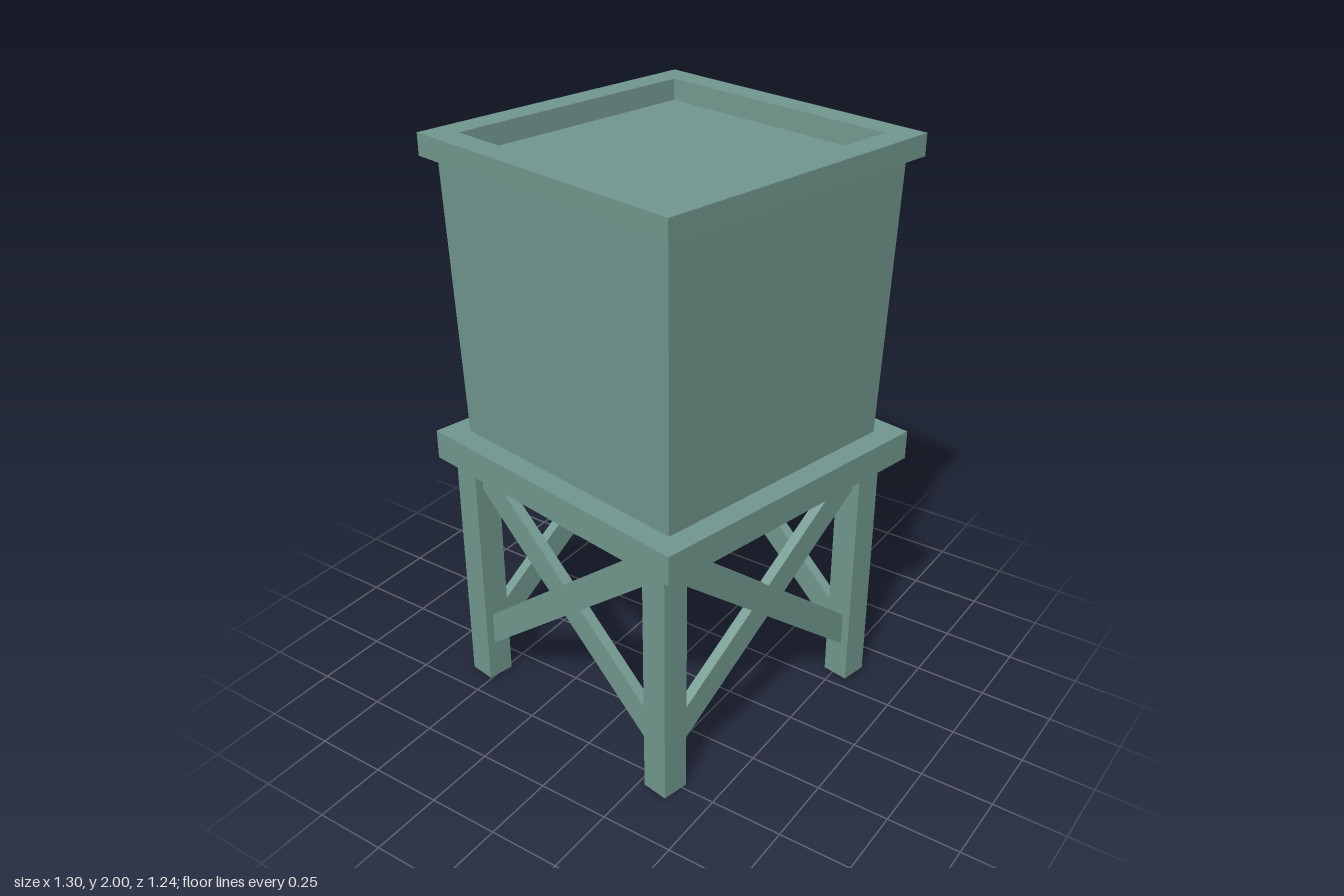
import * as THREE from 'three';

// Slightly skewed ground plan: every part is built square, then laid along these axes.
const SKEW = new THREE.Matrix4().set(
  1, 0, -0.222, 0,
  0, 1, 0, 0,
  0.173, 0, 1, 0,
  0, 0, 0, 1
);

const material = new THREE.MeshStandardMaterial({ color: 0x72988f, flatShading: true });

function part(name, geometry) {
  const mesh = new THREE.Mesh(geometry.applyMatrix4(SKEW), material);
  mesh.name = name;
  return mesh;
}

function block(w, y0, y1, x = 0, z = 0) {
  return new THREE.BoxGeometry(w, y1 - y0, w).translate(x, (y0 + y1) / 2, z);
}

// Square ring or solid from a profile of [half width, height]
function squareLathe(points) {
  const profile = points.map(([r, y]) => new THREE.Vector2(r * Math.SQRT2, y));
  return new THREE.LatheGeometry(profile, 4, Math.PI / 4);
}

// Diagonal plank with upright ends; dir gives the way it slopes
function brace(dir) {
  const reach = 0.4, mid = 0.525, rise = 0.33 * dir, half = 0.061, thick = 0.035;
  const shape = new THREE.Shape([
    new THREE.Vector2(-reach, mid - rise - half),
    new THREE.Vector2(reach, mid + rise - half),
    new THREE.Vector2(reach, mid + rise + half),
    new THREE.Vector2(-reach, mid - rise + half),
  ]);
  return new THREE.ExtrudeGeometry(shape, { depth: thick, bevelEnabled: false })
    .translate(0, 0, -thick / 2);
}

export function createModel() {
  const model = new THREE.Group();
  model.name = 'waterTower';

  // Supporting frame: four legs and a crossed pair of braces on each side
  const frame = new THREE.Group();
  frame.name = 'frame';
  frame.position.set(-0.01, 0, 0.01);
  const legAt = 0.434;
  for (const x of [-1, 1]) {
    for (const z of [-1, 1]) {
      frame.add(part('leg', block(0.092, 0, 0.876, x * legAt, z * legAt)));
    }
  }
  for (let side = 0; side < 4; side++) {
    for (const dir of [-1, 1]) {
      const plank = brace(dir).translate(0, 0, legAt).rotateY(side * Math.PI / 2);
      frame.add(part('crossBrace', plank));
    }
  }
  model.add(frame);

  // Platform and the tank that widens towards the top
  model.add(part('platform', block(1.06, 0.883, 0.985)));
  model.add(part('tank', squareLathe([[0, 0.984], [0.454, 0.984], [0.477, 1.93], [0, 1.93]])));

  // Raised rim around the sunken lid
  model.add(part('rim', squareLathe([
    [0.426, 1.928], [0.515, 1.928], [0.515, 2], [0.43, 2], [0.426, 1.928],
  ])));
  return model;
}
